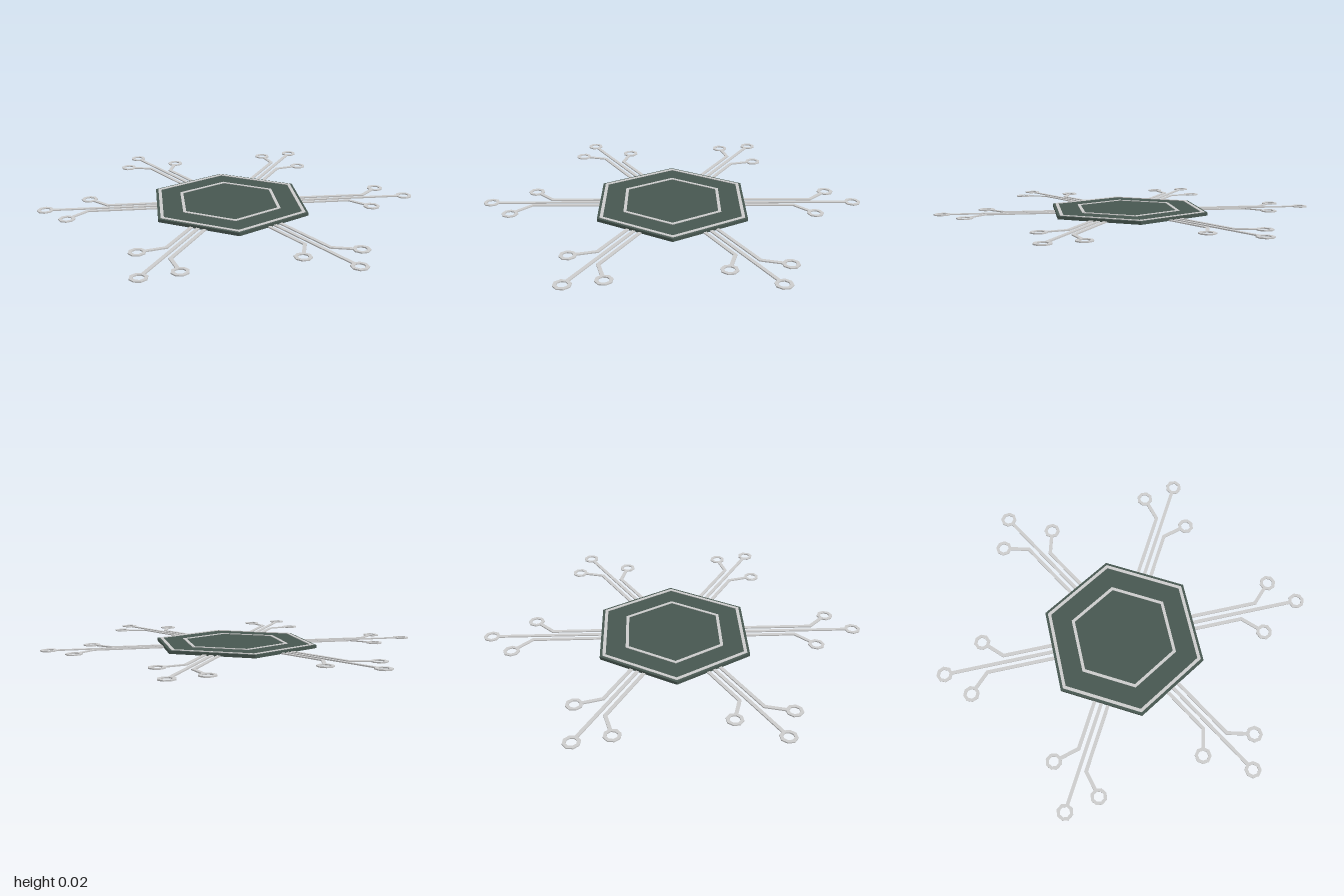
import * as THREE from 'three';

const grey = new THREE.MeshStandardMaterial({ color: 0xcccccc, flatShading: true });
const green = new THREE.MeshStandardMaterial({ color: 0x475750, flatShading: true });

// corner points of a regular polygon
function polygon(sides, radius, cx = 0, cy = 0, turn = 0) {
  return Array.from({ length: sides }, (_, i) => {
    const a = turn + (i / sides) * Math.PI * 2;
    return new THREE.Vector2(cx + radius * Math.cos(a), cy + radius * Math.sin(a));
  });
}

// flat slab lying in the ground plane; shape y points to -z
function slab(name, outline, hole, bottom, top, material) {
  const shape = new THREE.Shape(outline);
  if (hole) shape.holes.push(new THREE.Path(hole));
  const geometry = new THREE.ExtrudeGeometry(shape, { depth: top - bottom, bevelEnabled: false });
  geometry.rotateX(-Math.PI / 2).translate(0, bottom, 0);
  const mesh = new THREE.Mesh(geometry, material);
  mesh.name = name;
  return mesh;
}

// outline of a constant-width strip along a path, with mitred bends
function strip(points, width) {
  const left = [], right = [];
  points.forEach((p, i) => {
    const before = points[Math.max(i - 1, 0)], after = points[Math.min(i + 1, points.length - 1)];
    const d1 = (i ? p.clone().sub(before) : after.clone().sub(p)).normalize();
    const d2 = (i < points.length - 1 ? after.clone().sub(p) : d1.clone()).normalize();
    const normal = new THREE.Vector2(-d1.y - d2.y, d1.x + d2.x).normalize();
    const reach = width / 2 / normal.dot(new THREE.Vector2(-d1.y, d1.x));
    left.push(p.clone().addScaledVector(normal, reach));
    right.unshift(p.clone().addScaledVector(normal, -reach));
  });
  return [...right, ...left].reverse();
}

export function createModel() {
  const model = new THREE.Group();
  model.name = 'circuitHexagon';
  const hex = (radius) => polygon(6, radius, 0, 0, Math.PI / 6);

  // hexagonal plate with two thin raised borders
  model.add(slab('plate', hex(0.44), null, 0, 0.016, green));
  model.add(slab('outerBorder', hex(0.425), hex(0.406), 0.015, 0.019, grey));
  model.add(slab('innerBorder', hex(0.29), hex(0.272), 0.015, 0.019, grey));

  // traces of one arm: path, last point is the pad centre
  const paths = [
    [[0.36, 0], [0.957, 0]],
    [[0.36, 0.036], [0.737, 0.036], [0.836, 0.135]],
    [[0.36, -0.036], [0.64, -0.036], [0.738, -0.134]],
  ];
  const padRadius = 0.043, holeRadius = 0.026;

  for (let i = 0; i < 6; i++) {
    const arm = new THREE.Group();
    arm.name = 'traceArm' + (i + 1);
    for (const path of paths) {
      const points = path.map(([x, y]) => new THREE.Vector2(x, y));
      const pad = points[points.length - 1].clone();
      // stop the trace inside the rim of its pad
      const inward = points[points.length - 2].clone().sub(pad).normalize();
      points[points.length - 1].addScaledVector(inward, 0.034);
      arm.add(slab('trace', strip(points, 0.018), null, 0, 0.006, grey));
      arm.add(slab('pad', polygon(8, padRadius, pad.x, pad.y),
        polygon(8, holeRadius, pad.x, pad.y), 0, 0.006, grey));
    }
    arm.rotation.y = (i * Math.PI) / 3;
    model.add(arm);
  }
  return model;
}
